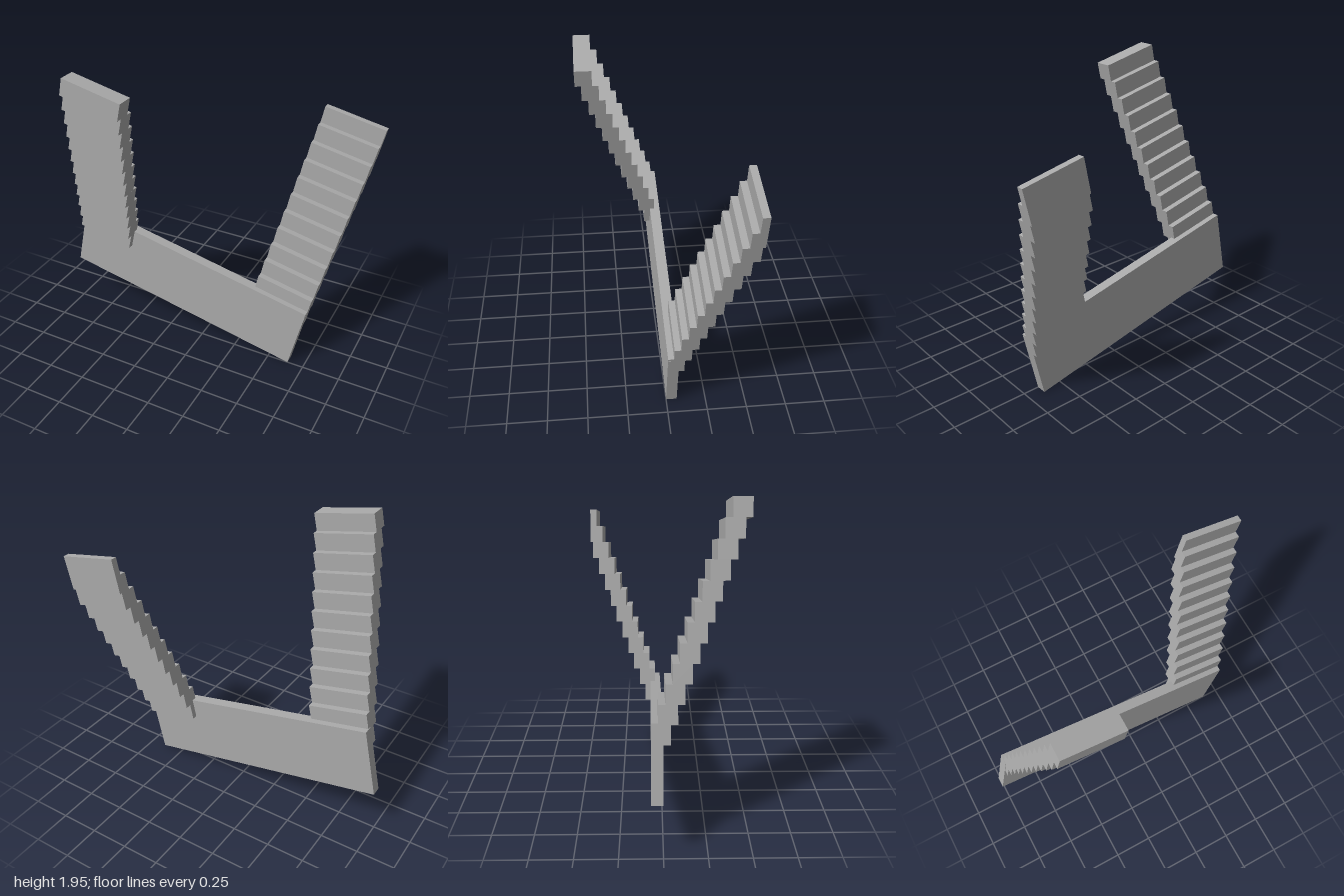
import * as THREE from 'three';

// Upright plate: outline in x/y, extruded between two z values
function slab(name, corners, zBack, zFront, material) {
  const shape = new THREE.Shape(corners.map(([x, y]) => new THREE.Vector2(x, y)));
  const geometry = new THREE.ExtrudeGeometry(shape, { depth: zFront - zBack, bevelEnabled: false });
  geometry.translate(0, 0, zBack);
  const mesh = new THREE.Mesh(geometry, material);
  mesh.name = name;
  return mesh;
}

// Point on a slanted edge line at height y
const onEdge = (x0, y0, slope, y) => [x0 + (y - y0) * slope, y];

export function createModel() {
  const model = new THREE.Group();
  model.name = 'steppedFrame';
  const grey = new THREE.MeshStandardMaterial({ color: 0xaaaaaa });
  grey.name = 'grey';

  // Tilted base plate
  model.add(slab('basePlate',
    [[-1, 0.333], [0.642, 0], [0.738, 0.438], [-0.905, 0.78]], -0.068, 0, grey));

  const rise = 0.1077;
  const run = 0.0396;

  // Arm climbing towards the front
  const frontArm = new THREE.Group();
  frontArm.name = 'frontArm';
  for (let k = 0; k < 12; k++) {
    const y0 = 0.661 + k * rise;
    const y1 = y0 + rise;
    const corners = [
      onEdge(-0.545, 0.578, 0.219, y0 - 0.083), onEdge(-0.545, 0.578, 0.219, y1 - 0.083),
      onEdge(-1, 0.333, 0.2195, y1), onEdge(-1, 0.333, 0.2195, y0),
    ];
    const zBack = -0.068 + k * run;
    frontArm.add(slab('frontStep', corners, zBack, Math.min(zBack + 0.108, 0.474), grey));
  }
  model.add(frontArm);

  // Arm climbing towards the back; the last steps end on one flush back face
  const backArm = new THREE.Group();
  backArm.name = 'backArm';
  for (let k = -1; k < 11; k++) {
    const y0 = 0.496 + k * rise;
    const y1 = y0 + rise;
    const corners = [
      onEdge(0.642, 0, 0.2215, y0 - 0.078), onEdge(0.642, 0, 0.2215, y1 - 0.078),
      onEdge(0.372, 0.52, 0.205, y1), onEdge(0.372, 0.52, 0.205, y0),
    ];
    const zFront = Math.min(-0.036 - k * run, -0.002);
    backArm.add(slab('backStep', corners, Math.max(-0.142 - k * run, -0.474), zFront, grey));
  }
  model.add(backArm);

  return model;
}
